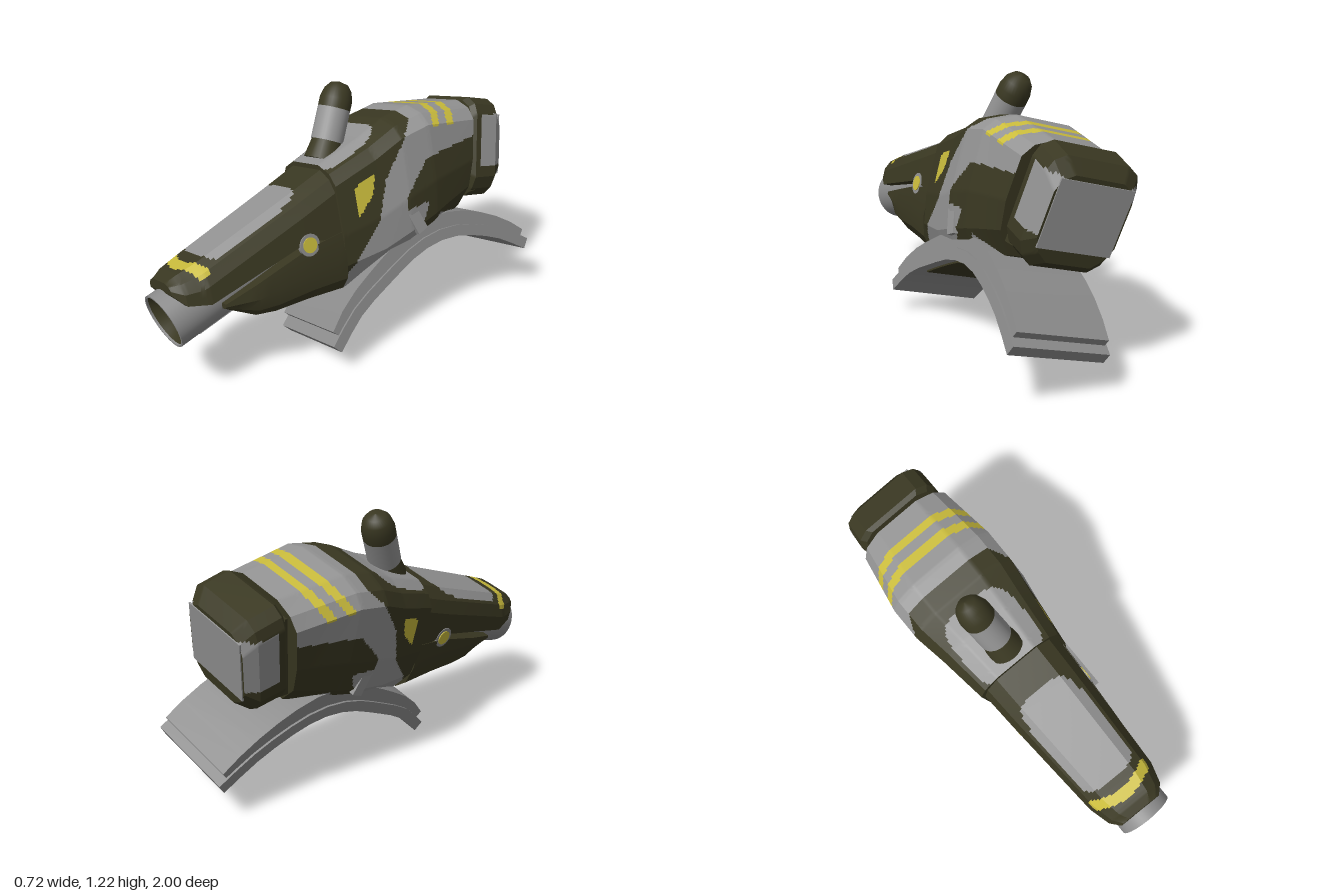
import * as THREE from 'three';
import { toCreasedNormals } from 'three/addons/utils/BufferGeometryUtils.js';

const mat = (name, color, side = THREE.FrontSide) => {
  const m = new THREE.MeshStandardMaterial({ color, side });
  m.name = name;
  return m;
};

// True when (x, y) lies inside a polygon of [x, y] corners
function inside(poly, x, y) {
  let hit = false;
  for (let i = 0, j = poly.length - 1; i < poly.length; j = i++) {
    const [ax, ay] = poly[i], [bx, by] = poly[j];
    if ((ay > y) !== (by > y) && x < ((bx - ax) * (y - ay)) / (by - ay) + ax) hit = !hit;
  }
  return hit;
}

// Loft mirrored half sections (top centre to bottom centre) through stations ordered front (+z) to back.
// station = [z, top, bottom, halfWidth, shear]; pick(s, v, z, top) gives each face its colour index.
function loft(stations, section, pick, step = 0.01) {
  const rings = [], tops = [];
  const half0 = section(...stations[0].slice(1));
  const cuts = half0.slice(1).map((p, i) =>
    Math.max(1, Math.round(Math.hypot(p[0] - half0[i][0], p[1] - half0[i][1]) / step)));
  const addRing = st => {
    const [z, top, bot, w, shear = 0] = st;
    const half = section(top, bot, w), side = [];
    cuts.forEach((n, i) => {
      for (let k = 0; k < n; k++) {
        const f = k / n;
        side.push([half[i][0] * (1 - f) + half[i + 1][0] * f, half[i][1] * (1 - f) + half[i + 1][1] * f]);
      }
    });
    const loop = [...side, half[half.length - 1], ...side.slice(1).reverse().map(p => [-p[0], p[1]])];
    rings.push(loop.map(p => [p[0], p[1], z + shear * (top - p[1])]));
    tops.push(top);
  };
  for (let i = 0; i < stations.length - 1; i++) {
    const a = stations[i], b = stations[i + 1];
    const n = Math.max(1, Math.round((a[0] - b[0]) / step));
    for (let k = 0; k < n; k++) addRing([0, 1, 2, 3, 4].map(q => (a[q] || 0) + ((b[q] || 0) - (a[q] || 0)) * k / n));
  }
  addRing(stations[stations.length - 1]);
  const n = rings[0].length, pos = rings.flat(2), lists = [[], [], []];
  for (let r = 0; r < rings.length - 1; r++) for (let i = 0; i < n; i++) {
    const j = (i + 1) % n, a = r * n + i, b = r * n + j, c = a + n, d = b + n;
    const p = rings[r][i], q = rings[r + 1][j];
    const k = pick((p[0] + q[0]) / 2, (p[1] + q[1]) / 2, (p[2] + q[2]) / 2, tops[r]);
    lists[k].push(a, b, c, b, d, c);
  }
  // End caps
  [0, rings.length - 1].forEach((r, back) => {
    const mid = pos.length / 3, o = r * n, top = rings[r][0], low = rings[r].reduce((m, p) => (p[1] < m[1] ? p : m));
    pos.push(0, (top[1] + low[1]) / 2, (top[2] + low[2]) / 2);
    for (let i = 0; i < n; i++) {
      const j = (i + 1) % n;
      lists[0].push(mid, o + (back ? i : j), o + (back ? j : i));
    }
  });
  const g = new THREE.BufferGeometry();
  g.setAttribute('position', new THREE.Float32BufferAttribute(pos, 3));
  g.setIndex(lists.flat());
  let start = 0;
  lists.forEach((l, k) => { if (l.length) g.addGroup(start, l.length, k); start += l.length; });
  return toCreasedNormals(g, 0.4);
}

export function createModel() {
  const olive = mat('olive', 0x3a3822), grey = mat('camouflage grey', 0x949494);
  const yellow = mat('yellow', 0xcabc3c), steel = mat('steel grey', 0x8c8c8c, THREE.DoubleSide);
  const oliveInner = mat('olive lining', 0x3a3822, THREE.DoubleSide);
  const camo = [olive, grey, yellow];

  const model = new THREE.Group();
  const body = new THREE.Group();
  body.name = 'tiltedCannon';
  body.rotation.set(0, -0.05, 0.264, 'ZYX');
  body.position.set(0.126, 0.034, 0);
  model.add(body);
  const add = (name, geo, m, parent = body) => {
    const mesh = new THREE.Mesh(geo, m);
    mesh.name = name;
    parent.add(mesh);
    return mesh;
  };

  // Main hull with camouflage
  const greyZone = [[-0.345, 1.2], [-0.335, 1.0], [-0.275, 0.946], [-0.136, 0.764], [-0.07, 0.57], [0.115, 0.35], [0.115, 0.1],
    [-0.9, 0.1], [-0.9, 1.2]];
  const olivePatch = [[-0.23, 0.653], [-0.376, 0.807], [-0.7, 0.83], [-0.76, 0.82], [-0.76, 0.42], [-0.7, 0.444], [-0.445, 0.51],
    [-0.4, 0.41], [-0.285, 0.41], [-0.365, 0.598], [-0.23, 0.587]];
  const sideMark = [[0.03, 0.764], [-0.085, 0.807], [-0.06, 0.709], [0.035, 0.615]];
  const hullPick = (s, v, z, top) => {
    const drop = top - v;
    if (drop < 0.1 && [-0.61, -0.515].some(c => Math.abs(z - c - drop * 0.6) < 0.023)) return 2;
    if (inside(sideMark, z, v)) return 2;
    if (drop < 0.075 && Math.pow(Math.abs(s) / 0.18, 4) + Math.pow(Math.abs(z + 0.03) / 0.17, 4) < 1) return 1;
    return inside(greyZone, z, v) && !inside(olivePatch, z, v) ? 1 : 0;
  };
  const hullSection = (t, b, w) => [[0, t], [0.48 * w, t], [0.83 * w, t - 0.035], [w, t - 0.09],
    [w, b + 0.45 * (t - b)], [0.9 * w, b + 0.2 * (t - b)], [0.57 * w, b], [0, b]];
  add('hull', loft([[0.12, 0.885, 0.29, 0.225], [-0.1, 0.955, 0.3, 0.253], [-0.25, 1.02, 0.34, 0.277],
    [-0.41, 1.045, 0.39, 0.278], [-0.74, 0.996, 0.48, 0.24, 0.2]], hullSection, hullPick), camo);

  // Upper snout
  const snoutPick = (s, v, z, top) => {
    const drop = top - v;
    if (drop < 0.06 && Math.abs(s) < 0.16 && Math.abs(z - 0.845 + s * s * 2) < 0.026) return 2;
    return drop < 0.075 && Math.pow(Math.abs(s) / 0.15, 4) + Math.pow(Math.abs(z - 0.515) / 0.25, 6) < 1 ? 1 : 0;
  };
  const snoutSection = (t, b, w) => {
    const h = t - b;
    return [[0, t], [0.55 * w, t], [0.85 * w, t - Math.min(0.04, h * 0.25)], [w, t - Math.min(0.1, h * 0.6)], [w, b], [0, b]];
  };
  add('upperSnout', loft([[0.945, 0.578, 0.53, 0.11], [0.9, 0.602, 0.475, 0.15], [0.8, 0.633, 0.455, 0.178],
    [0.3, 0.8, 0.585, 0.205], [0.115, 0.865, 0.55, 0.212]], snoutSection, snoutPick, 0.009), camo);

  // Lower jaw
  const jawSection = (t, b, w) => [[0, t], [w, t], [w, b + 0.55 * (t - b)], [0.88 * w, b + 0.2 * (t - b)], [0.62 * w, b], [0, b]];
  add('lowerJaw', loft([[0.735, 0.43, 0.4, 0.168], [0.58, 0.473, 0.315, 0.188], [0.48, 0.503, 0.3, 0.195], [0.3, 0.555, 0.3, 0.207],
    [0.115, 0.58, 0.29, 0.215]], jawSection, () => 0, 0.05), olive);

  // Jaw hinge pins
  for (const side of [1, -1]) {
    [['hingeRing', 0.052, 0.199, steel], ['hingePin', 0.036, 0.203, yellow]].forEach(([name, r, s, m]) => {
      const pin = add(name, new THREE.CylinderGeometry(r, r, 0.02, 24), m);
      pin.rotation.z = Math.PI / 2;
      pin.position.set(side * s, 0.57, 0.295);
    });
  }

  // Barrel pitched downward, with a hollow dished mouth
  const barrel = new THREE.Group();
  barrel.name = 'barrel';
  barrel.position.set(0, 0.395, 0.965);
  barrel.rotation.x = Math.PI / 2 + 0.27;
  body.add(barrel);
  const wall = [[0.11, -0.7], [0.13, -0.55], [0.134, 0], [0.125, 0], [0.125, -0.02]].map(p => new THREE.Vector2(...p));
  add('barrelTube', toCreasedNormals(new THREE.LatheGeometry(wall, 40), 0.5), steel, barrel);
  const dish = [[0, -0.12], [0.06, -0.09], [0.125, -0.01]].map(p => new THREE.Vector2(...p));
  add('barrelMouth', new THREE.LatheGeometry(dish, 40), oliveInner, barrel);
  add('barrelRib', new THREE.BoxGeometry(0.05, 0.3, 0.02), steel, barrel).position.set(0, -0.26, 0.13);

  // Rear block, pitched back
  const rear = new THREE.Group();
  rear.name = 'rearBlock';
  rear.position.set(0, 0.75, -0.815);
  rear.rotation.x = -0.2;
  body.add(rear);
  const blockSection = (t, b, w) => [[0, t], [w - 0.07, t], [w - 0.02, t - 0.03], [w, t - 0.08], [w, b + 0.1],
    [w - 0.03, b + 0.04], [w - 0.08, b], [0, b]];
  const blockPick = (s, v, z) => (Math.abs(s) > 0.16 && v > -0.1 && v < 0.155 && z < 0.055 ? 1 : 0);
  add('rearCasing', loft([[0.1, 0.225, -0.24, 0.2], [0.08, 0.24, -0.255, 0.22], [-0.05, 0.228, -0.255, 0.218],
    [-0.105, 0.17, -0.21, 0.185]], blockSection, blockPick), camo, rear);
  add('rearPanel', new THREE.BoxGeometry(0.35, 0.3, 0.008), grey, rear).position.set(0, 0, -0.106);
  add('rearNeck', new THREE.BoxGeometry(0.36, 0.4, 0.1), olive).position.set(0, 0.74, -0.69);

  // Top sight with domed cap, leaning backward
  const sight = new THREE.Group();
  sight.name = 'sight';
  sight.position.set(0.008, 0.955, -0.01);
  sight.rotation.x = -0.46;
  body.add(sight);
  add('sightFoot', new THREE.CylinderGeometry(0.07, 0.09, 0.1, 24), olive, sight).position.y = -0.035;
  add('sightShaft', new THREE.CylinderGeometry(0.077, 0.077, 0.155, 32), grey, sight).position.y = 0.0825;
  const dome = [[0.077, 0.16], [0.077, 0.205], [0.065, 0.25], [0.042, 0.278], [0, 0.289]].map(p => new THREE.Vector2(...p));
  add('sightCap', new THREE.LatheGeometry(dome, 32), olive, sight);

  // Arched base: strips swept along one curve; crown thickens a strip toward the middle of the arch
  const arch = new THREE.CatmullRomCurve3([[0.24, 0.03], [0.1, 0.16], [-0.1, 0.266], [-0.3, 0.35], [-0.46, 0.37],
    [-0.6, 0.345], [-0.8, 0.265], [-0.963, 0.16]].map(p => new THREE.Vector3(p[0], p[1], 0)));
  const archStrip = (name, t0, t1, d0, d1, halfWidth, m, crown = 0) => {
    const n = Math.max(2, Math.round((t1 - t0) * 14)), low = [], high = [];
    for (let i = 0; i <= n; i++) {
      const t = t0 + (t1 - t0) * i / n, p = arch.getPointAt(t), d = arch.getTangentAt(t);
      const at = k => new THREE.Vector2(p.x + d.y * k, p.y - d.x * k);
      low.push(at(d0));
      high.push(at(d1 + crown * Math.sin(Math.PI * t)));
    }
    const geo = new THREE.ExtrudeGeometry(new THREE.Shape([...low, ...high.reverse()]), { depth: halfWidth * 2, bevelEnabled: false });
    add(name, toCreasedNormals(geo.rotateY(-Math.PI / 2).translate(halfWidth, 0, 0), 0.4), m);
  };
  archStrip('basePlate', 0, 1, 0, 0.055, 0.228, steel);
  archStrip('baseUpperPlate', 0.045, 0.965, 0.05, 0.085, 0.218, steel, 0.045);
  archStrip('baseLiningFront', 0.2, 0.52, -0.008, 0.01, 0.17, olive);
  archStrip('baseLiningRear', 0.52, 0.66, -0.008, 0.01, 0.17, grey);

  // Brackets between hull and base
  for (const side of [1, -1]) {
    const bracket = add('bracket', new THREE.BoxGeometry(0.025, 0.12, 0.06), grey);
    bracket.position.set(side * 0.25, 0.52, -0.28);
    bracket.rotation.x = 0.4;
  }
  return model;
}
